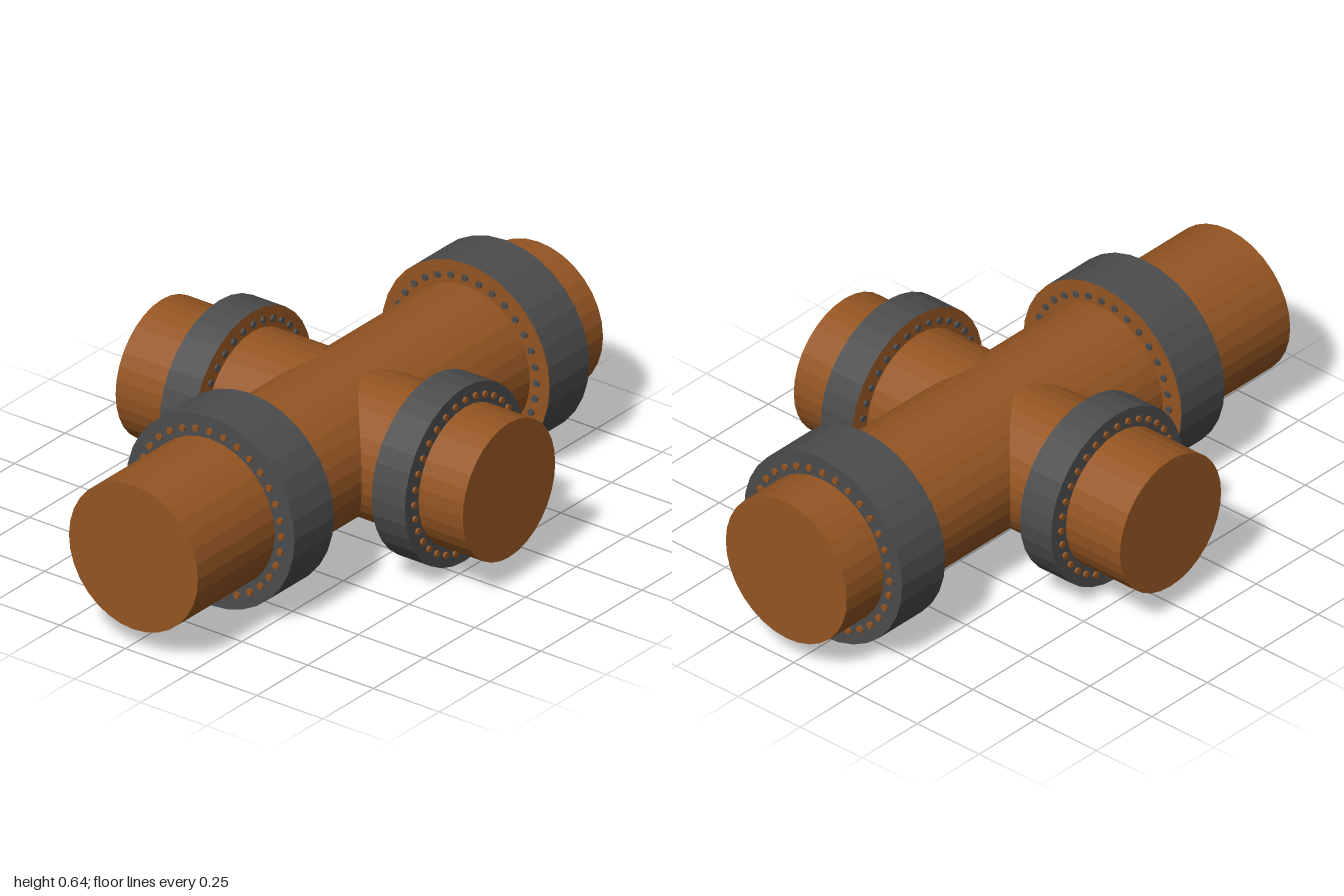
import * as THREE from 'three';

const SIDES = 32, BOLTS = 32;

export function createModel() {
  const model = new THREE.Group();
  model.name = 'crossPipe';
  const copper = new THREE.MeshStandardMaterial({ color: 0x945522 });
  copper.name = 'copper brown';
  const iron = new THREE.MeshStandardMaterial({ color: 0x4c4c4c });
  iron.name = 'dark grey';

  const cylinder = (radius, length) =>
    new THREE.CylinderGeometry(radius, radius, length, SIDES).toNonIndexed();
  const flat = (geometry) => { geometry.computeVertexNormals(); return geometry; };

  // A collar ring whose +y face points away from the junction, with bolts on both faces
  function makeCollar(name, radius, width, boltRing) {
    const collar = new THREE.Group();
    collar.name = name;
    const source = new THREE.CylinderGeometry(radius, radius, width, SIDES);
    const geometry = source.toNonIndexed();
    source.groups.forEach((g) => geometry.addGroup(g.start, g.count, g.materialIndex));
    // Wall and outer face are grey, the inward face is brown
    const ring = new THREE.Mesh(flat(geometry), [iron, iron, copper]);
    ring.name = 'collarRing';
    collar.add(ring);
    const boltGeometry = new THREE.CylinderGeometry(0.011, 0.011, 0.016, 8);
    for (const side of [1, -1]) {
      for (let i = 0; i < BOLTS; i++) {
        const a = (i / BOLTS) * Math.PI * 2;
        const bolt = new THREE.Mesh(boltGeometry, side > 0 ? copper : iron);
        bolt.name = side > 0 ? 'outerBolt' : 'innerBolt';
        bolt.position.set(Math.cos(a) * boltRing, side * width / 2, Math.sin(a) * boltRing);
        collar.add(bolt);
      }
    }
    return collar;
  }

  // A pipe along local y with a collar near each end
  function makePipe(name, p) {
    const pipe = new THREE.Group();
    pipe.name = name;
    const tube = new THREE.Mesh(flat(cylinder(p.radius, p.length)), copper);
    tube.name = 'pipeBody';
    pipe.add(tube);
    p.collars.forEach((y, i) => {
      const collar = makeCollar('collar' + (i + 1), p.collarRadius, p.collarWidth, p.boltRing);
      collar.position.y = y;
      if (y < 0) collar.rotation.x = Math.PI;
      pipe.add(collar);
    });
    model.add(pipe);
    return pipe;
  }

  // Long pipe, front to back
  const main = makePipe('mainPipe', {
    radius: 0.245, length: 2, collarRadius: 0.32, collarWidth: 0.195,
    boltRing: 0.272, collars: [0.523, -0.737],
  });
  main.rotation.x = Math.PI / 2;
  main.position.set(0.03, 0.322, 0);

  // Short pipe, side to side
  const cross = makePipe('crossingPipe', {
    radius: 0.228, length: 1.32, collarRadius: 0.295, collarWidth: 0.126,
    boltRing: 0.253, collars: [0.428, -0.378],
  });
  cross.rotation.z = -Math.PI / 2;
  cross.position.set(0, 0.322, -0.036);

  return model;
}
